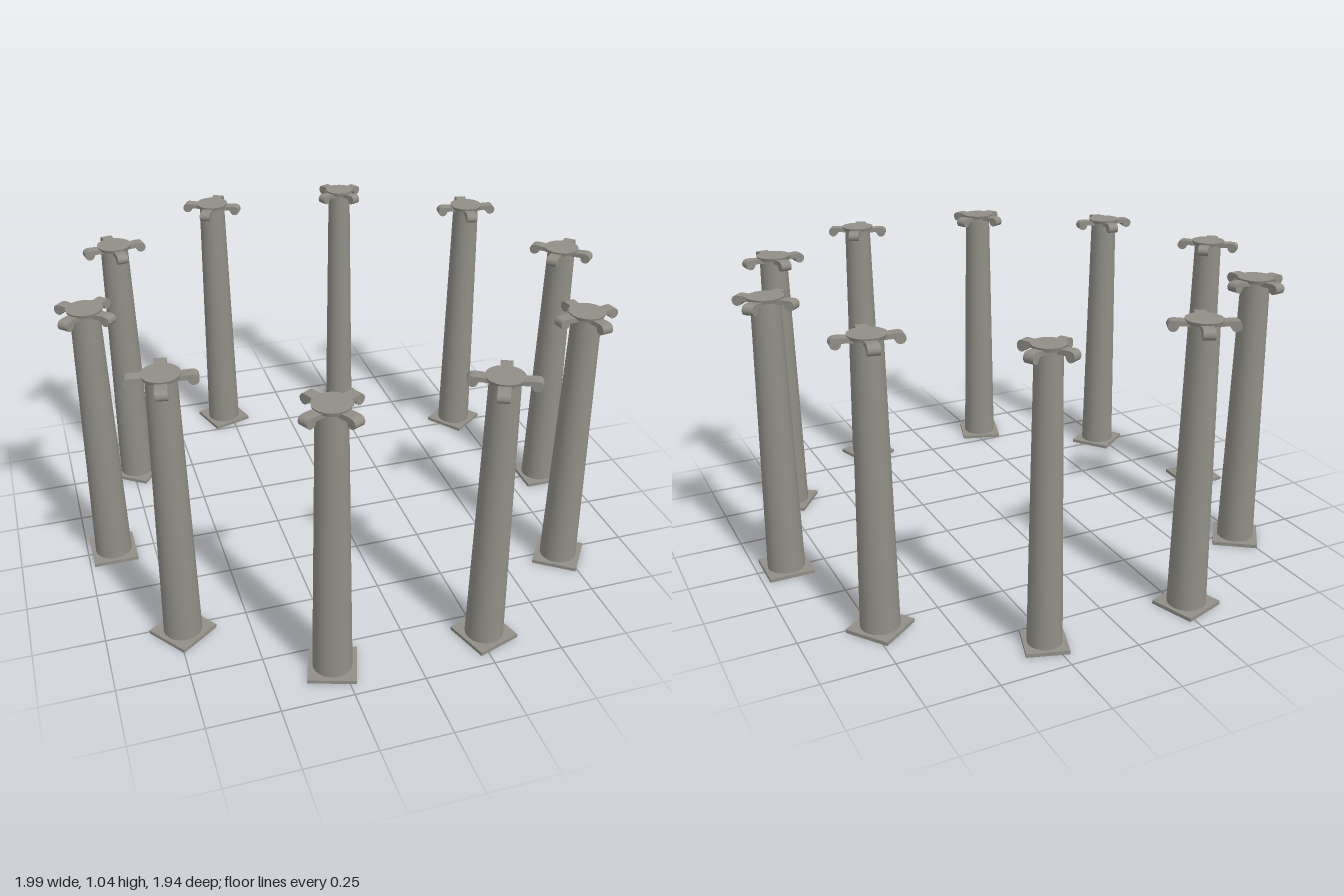
import * as THREE from 'three';

const stone = new THREE.MeshStandardMaterial({ color: 0x908e86 });
stone.name = 'grey stone';

function part(parent, name, geometry, x = 0, y = 0, z = 0) {
  const mesh = new THREE.Mesh(geometry, stone);
  mesh.name = name;
  mesh.position.set(x, y, z);
  parent.add(mesh);
  return mesh;
}

// Side profile of one scroll arm: a band arching out and curling down to a round end
function makeScrollGeometry(width) {
  const s = new THREE.Shape();
  s.moveTo(0.03, 1.012);
  s.lineTo(0.03, 1.026);
  s.quadraticCurveTo(0.075, 1.034, 0.1, 1.033);
  s.absarc(0.1, 1.015, 0.018, Math.PI / 2, -Math.PI, true);
  s.quadraticCurveTo(0.07, 1.017, 0.03, 1.012);
  const g = new THREE.ExtrudeGeometry(s, { depth: width, bevelEnabled: false, curveSegments: 10 });
  return g.translate(0, 0, -width / 2);
}

export function createModel() {
  const model = new THREE.Group();
  model.name = 'columnRing';

  const plinthGeo = new THREE.BoxGeometry(0.165, 0.013, 0.165);
  const shaftGeo = new THREE.CylinderGeometry(0.051, 0.068, 1.016, 20, 1, true);
  const discGeo = new THREE.CylinderGeometry(0.064, 0.06, 0.013, 20);
  const scrollGeo = makeScrollGeometry(0.04);

  const count = 10;
  const radius = 0.898;
  for (let i = 0; i < count; i++) {
    const a = (i / count) * Math.PI * 2;
    const column = new THREE.Group();
    column.name = 'column' + (i + 1);
    column.position.set(radius * Math.cos(a) - 0.005, 0, radius * Math.sin(a) - 0.002);
    column.rotation.y = -a;

    part(column, 'plinth', plinthGeo, 0, 0.0065, 0);
    part(column, 'shaft', shaftGeo, 0, 0.52, 0);
    part(column, 'capitalDisc', discGeo, 0, 1.0305, 0);

    // Four scrolls on the diagonals of the plinth
    for (let k = 0; k < 4; k++) {
      part(column, 'scroll' + (k + 1), scrollGeo).rotation.y = Math.PI / 4 + k * Math.PI / 2;
    }

    // One column at the back is slightly slimmer
    if (i === 8) column.scale.set(0.88, 1, 0.88);
    model.add(column);
  }
  return model;
}
